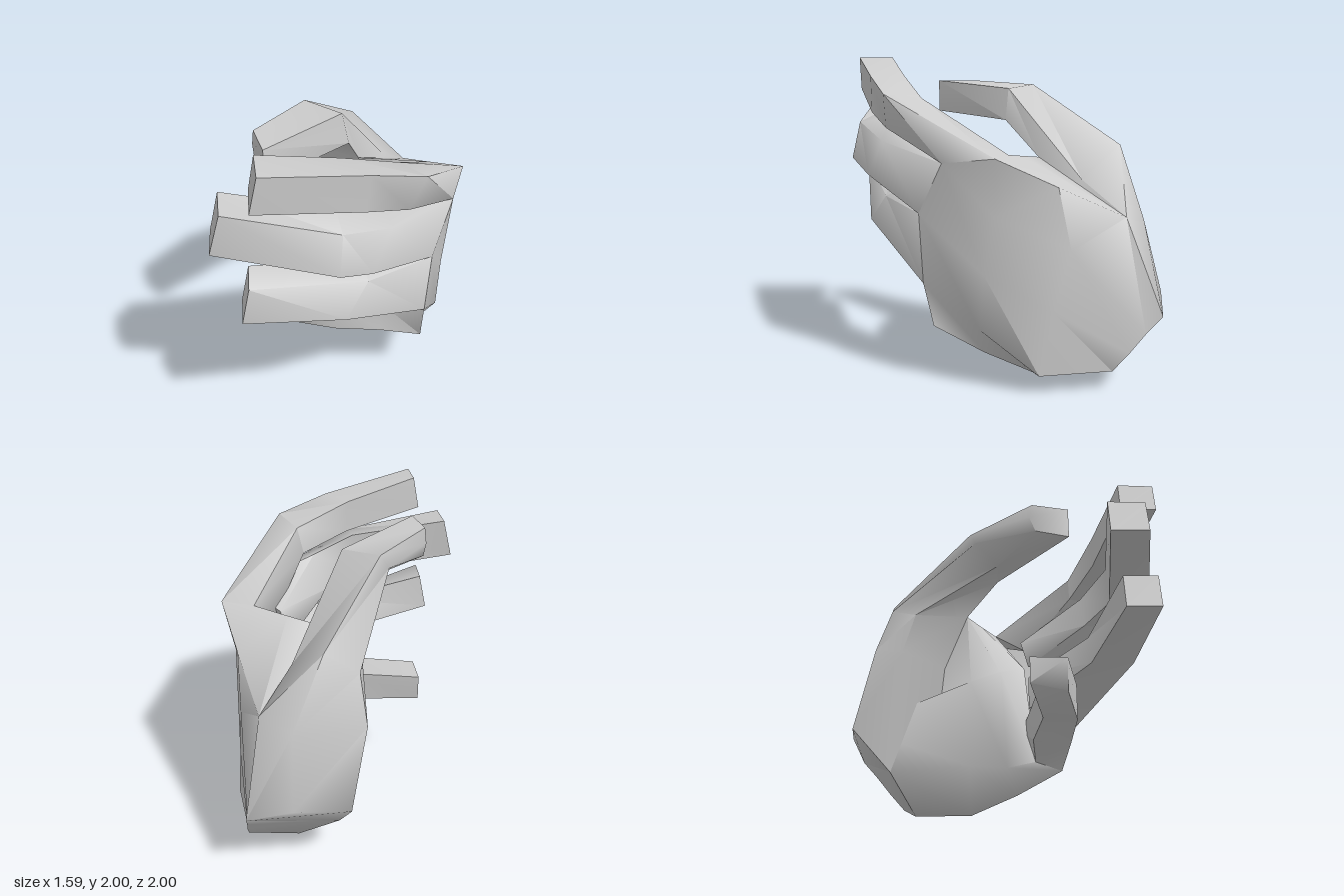
import * as THREE from 'three';
import { toCreasedNormals } from 'three/addons/utils/BufferGeometryUtils.js';

const material = new THREE.MeshStandardMaterial({ color: 0xcccccc, side: THREE.DoubleSide });

// Skin a list of matching cross-sections and close both ends
function loft(name, rings) {
  const n = rings[0].length;
  const index = [];
  for (let i = 0; i < rings.length - 1; i++) {
    for (let j = 0; j < n; j++) {
      const a = i * n + j, b = i * n + (j + 1) % n;
      index.push(a, b, b + n, a, b + n, a + n);
    }
  }
  const end = (rings.length - 1) * n;
  for (let j = 1; j < n - 1; j++) {
    index.push(0, j + 1, j, end, end + j, end + j + 1);
  }
  const geometry = new THREE.BufferGeometry();
  geometry.setAttribute('position', new THREE.Float32BufferAttribute(rings.flat(2), 3));
  geometry.setIndex(index);
  const mesh = new THREE.Mesh(toCreasedNormals(geometry, 1.25), material);
  mesh.name = name;
  return mesh;
}

// Knuckle and the hollows between the fingers, shared by palm and fingers
const knuckle = [0.79, 1.43, 0.05], knuckleInner = [0.58, 1.43, -0.03];
const gap1 = [0.66, 1.39, 0.36], gap2 = [0.52, 1.07, 0.51], gap3 = [0.5, 0.63, 0.49];
const pinkyEdge = [0.5, 0.36, 0.43], pinkyPalm = [0.33, 0.37, 0.24];

// Wrist corners and the web beside the thumb
const wrist = {
  bottom: [0.34, 0, -0.55], back: [0.66, 0.12, -0.66], backTop: [0.65, 0.46, -0.96],
  top: [0.37, 0.54, -1], palmTop: [0.02, 0.49, -0.95], palm: [0.08, 0.22, -0.7],
};
const web = [0.15, 1.37, -0.23], thumbRoot = [0.55, 1.05, -0.74];

export function createModel() {
  const hand = new THREE.Group();
  hand.name = 'hand';

  // Palm: wrist, heel, middle of the hand, row of knuckles
  hand.add(loft('palm', [
    [wrist.palm, wrist.bottom, wrist.back, [0.66, 0.23, -0.76], [0.65, 0.35, -0.86],
      wrist.backTop, wrist.top, wrist.palmTop],
    [[0.2, 0.3, -0.2], [0.44, 0.03, -0.19], [0.74, 0.12, -0.21], [0.71, 0.5, -0.3],
      [0.68, 0.87, -0.4], thumbRoot, web, [0.2, 0.9, -0.2]],
    [[0.3, 0.32, 0.05], [0.48, 0.18, 0.12], [0.66, 0.38, 0.14], [0.68, 0.73, 0.12],
      [0.72, 1.08, 0.05], [0.68, 1.25, -0.32], [0.37, 1.4, -0.13], [0.26, 1.0, 0]],
    [pinkyPalm, pinkyEdge, gap3, gap2, gap1, knuckle, knuckleInner, [0.32, 1.05, 0.17]],
  ]));

  // Thumb: ball of the thumb, two joints, tip
  hand.add(loft('thumb', [
    [wrist.backTop, wrist.top, wrist.palmTop, wrist.palm, [0.45, 0.35, -0.5]],
    [thumbRoot, [0.36, 1.0, -0.88], [-0.08, 1.0, -0.82], [-0.05, 1.0, -0.65], [0.3, 1.0, -0.3]],
    [[0.35, 1.25, -0.49], [0.17, 1.45, -0.75], [-0.04, 1.31, -0.73], [-0.07, 1.27, -0.57], web],
    [[0.02, 1.8, -0.04], [-0.2, 1.82, -0.21], [-0.26, 1.72, -0.17], [-0.16, 1.6, -0.02], [0.06, 1.6, -0.02]],
    [[-0.48, 1.84, 0.44], [-0.53, 1.84, 0.2], [-0.54, 1.74, 0.18], [-0.53, 1.64, 0.22], [-0.48, 1.63, 0.44]],
  ]));

  // Fingers: four-cornered sections (top outer, top inner, bottom inner, bottom outer)
  hand.add(loft('indexFinger', [
    [knuckle, knuckleInner, [0.45, 1.25, 0.18], gap1],
    [[0.41, 1.78, 0.72], [0.29, 1.75, 0.5], [0.25, 1.57, 0.5], [0.32, 1.57, 0.72]],
    [[0.08, 1.88, 0.84], [-0.06, 1.88, 0.64], [-0.05, 1.67, 0.64], [0.06, 1.65, 0.84]],
    [[-0.52, 2, 1], [-0.53, 2, 0.77], [-0.57, 1.79, 0.77], [-0.57, 1.78, 1]],
  ]));
  hand.add(loft('middleFinger', [
    [gap1, [0.42, 1.3, 0.15], [0.35, 1.08, 0.2], gap2],
    [[0.22, 1.48, 0.76], [0.18, 1.53, 0.57], [0.08, 1.27, 0.58], [0.1, 1.25, 0.87]],
    [[-0.08, 1.58, 0.94], [-0.1, 1.61, 0.72], [-0.12, 1.34, 0.73], [-0.1, 1.34, 1]],
    [[-0.73, 1.72, 0.9], [-0.74, 1.72, 0.66], [-0.8, 1.47, 0.66], [-0.8, 1.47, 0.9]],
  ]));
  hand.add(loft('ringFinger', [
    [gap2, [0.36, 1.0, 0.2], [0.32, 0.75, 0.2], gap3],
    [[0.09, 1.11, 0.76], [0.06, 1.17, 0.6], [-0.05, 0.93, 0.6], [-0.05, 0.93, 0.88]],
    [[-0.6, 1.27, 0.97], [-0.6, 1.27, 0.75], [-0.65, 1.03, 0.75], [-0.65, 1.03, 0.97]],
  ]));
  hand.add(loft('littleFinger', [
    [gap3, [0.42, 0.62, 0.15], pinkyPalm, pinkyEdge],
    [[0.2, 0.7, 0.46], [0.22, 0.69, 0.2], [0.2, 0.48, 0.22], [0.22, 0.46, 0.47]],
    [[-0.1, 0.75, 0.49], [-0.06, 0.75, 0.25], [-0.08, 0.53, 0.27], [-0.08, 0.52, 0.49]],
    [[-0.52, 0.75, 0.4], [-0.53, 0.75, 0.17], [-0.53, 0.58, 0.17], [-0.46, 0.56, 0.4]],
  ]));

  return hand;
}
